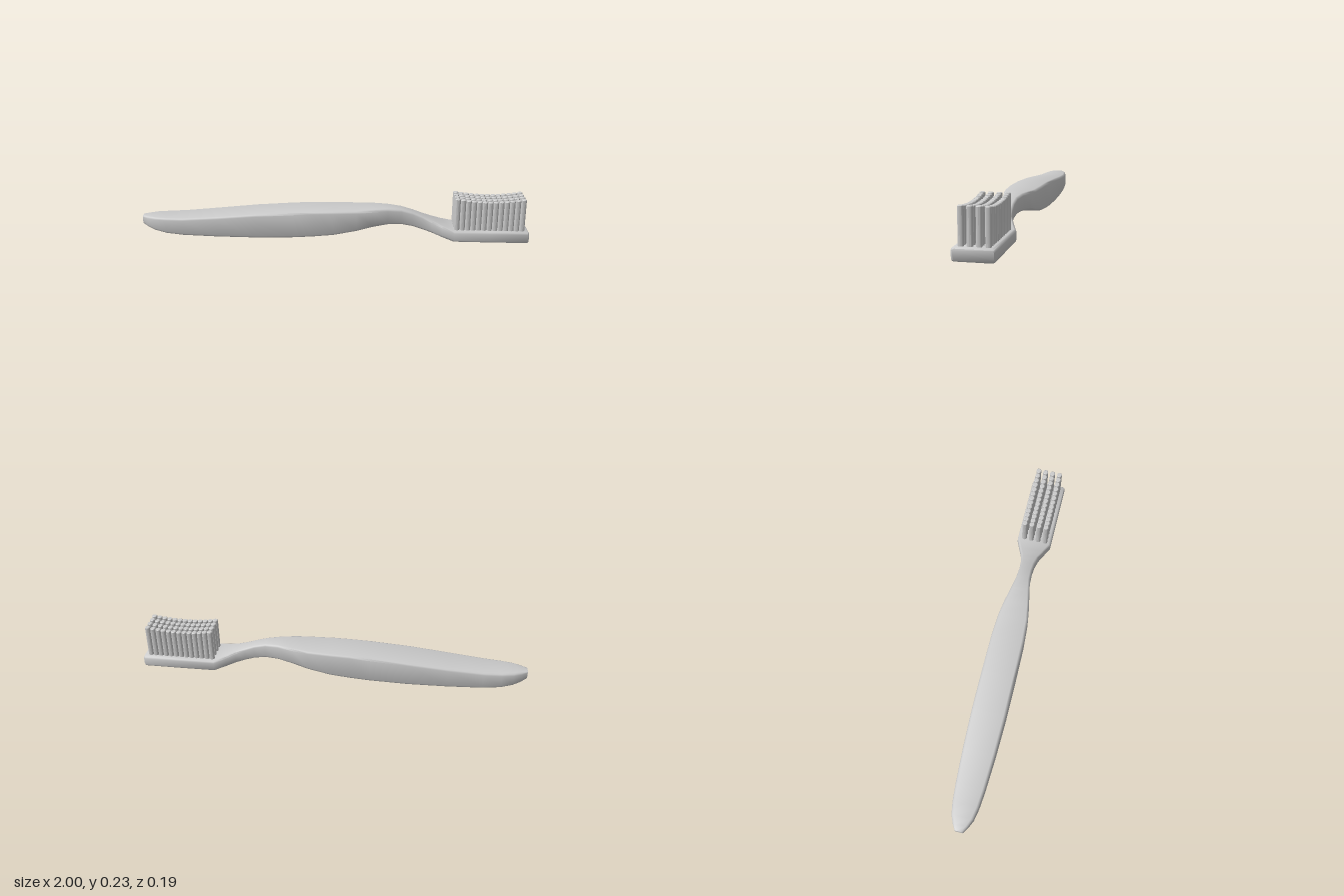
import * as THREE from 'three';
import { toCreasedNormals } from 'three/addons/utils/BufferGeometryUtils.js';

const material = new THREE.MeshStandardMaterial({ color: 0xcccccc });

// Stations along the body: x, bottom, top, half width
const stations = [
  [-1, 0.06, 0.102, 0.02], [-0.97, 0.045, 0.104, 0.038], [-0.93, 0.033, 0.105, 0.055],
  [-0.87, 0.021, 0.105, 0.066], [-0.78, 0.014, 0.107, 0.074], [-0.6, 0.011, 0.121, 0.083],
  [-0.4, 0.01, 0.139, 0.088], [-0.2, 0.014, 0.152, 0.088], [-0.1, 0.02, 0.156, 0.087],
  [0, 0.029, 0.158, 0.086], [0.12, 0.05, 0.159, 0.079], [0.2, 0.068, 0.163, 0.067],
  [0.28, 0.078, 0.164, 0.05], [0.35, 0.076, 0.157, 0.038], [0.41, 0.065, 0.14, 0.035],
  [0.46, 0.049, 0.121, 0.038], [0.51, 0.034, 0.102, 0.048], [0.56, 0.018, 0.082, 0.068],
  [0.62, 0.003, 0.062, 0.093], [0.8, 0.001, 0.061, 0.093], [0.993, 0, 0.06, 0.093],
  [1, 0.007, 0.055, 0.088],
];

// Box-like cross-section with rounded corners, as [y, z] points
function section([, bottom, top, half]) {
  const r = Math.min(0.012, half * 0.3, (top - bottom) * 0.2);
  const points = [];
  const corners = [[top - r, half - r], [top - r, r - half], [bottom + r, r - half], [bottom + r, half - r]];
  corners.forEach(([y, z], i) => {
    for (let k = 0; k <= 2; k++) {
      const a = (i + k / 2) * Math.PI / 2;
      points.push([y + r * Math.sin(a), z + r * Math.cos(a)]);
    }
  });
  return points;
}

// Skin the cross-sections and close both ends
function createBodyGeometry() {
  const positions = [], index = [];
  const sides = section(stations[0]).length;
  for (const s of stations) for (const [y, z] of section(s)) positions.push(s[0], y, z);
  for (let i = 0; i < stations.length - 1; i++) {
    for (let j = 0; j < sides; j++) {
      const a = i * sides + j, b = i * sides + (j + 1) % sides;
      index.push(a, a + sides, b, b, a + sides, b + sides);
    }
  }
  const last = (stations.length - 1) * sides;
  for (let j = 1; j < sides - 1; j++) {
    index.push(0, j, j + 1);
    index.push(last, last + j + 1, last + j);
  }
  const geometry = new THREE.BufferGeometry();
  geometry.setAttribute('position', new THREE.Float32BufferAttribute(positions, 3));
  geometry.setIndex(index);
  return toCreasedNormals(geometry, 0.9);
}

// Tuft with a slightly rounded tip
function createTuftGeometry(height) {
  const r = 0.0138, tip = 0.003;
  const profile = [[r, 0], [r, height - tip], [r - tip, height], [0, height]];
  const lathe = new THREE.LatheGeometry(profile.map(([x, y]) => new THREE.Vector2(x, y)), 12);
  return toCreasedNormals(lathe, 0.7);
}

export function createModel() {
  const model = new THREE.Group();
  model.name = 'toothbrush';

  const body = new THREE.Mesh(createBodyGeometry(), material);
  body.name = 'handleAndHead';
  model.add(body);

  // Four rows of tufts, dipping towards the middle
  const bristles = new THREE.Group();
  bristles.name = 'bristles';
  const columns = 13, base = 0.055;
  for (let i = 0; i < columns; i++) {
    const t = (i / (columns - 1)) * 2 - 1;
    const geometry = createTuftGeometry(0.213 + 0.015 * t * t - base);
    for (const z of [-0.058, -0.0195, 0.0195, 0.058]) {
      const tuft = new THREE.Mesh(geometry, material);
      tuft.name = 'tuft';
      tuft.position.set(0.8 + t * 0.166, base, z);
      bristles.add(tuft);
    }
  }
  model.add(bristles);
  return model;
}
